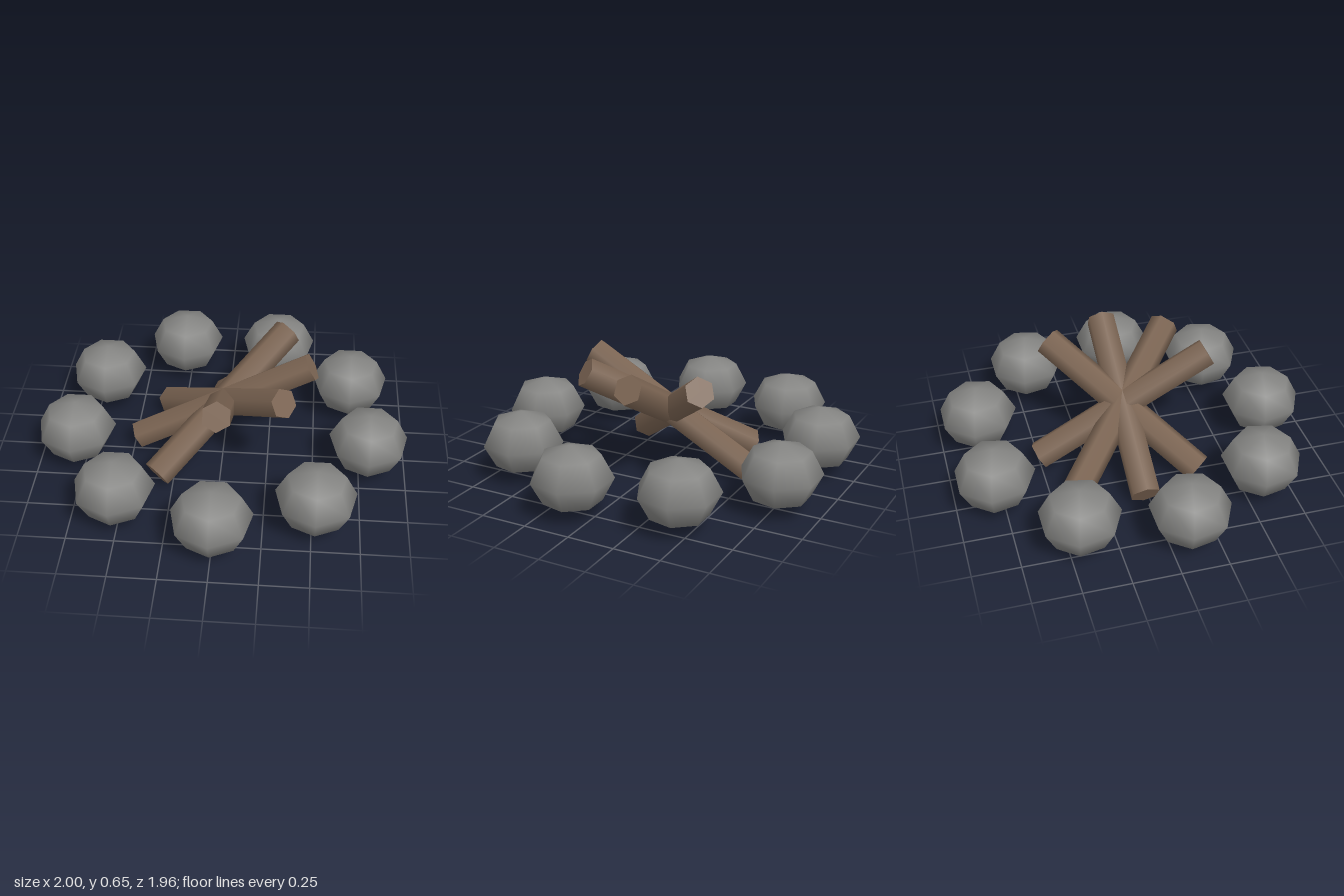
import * as THREE from 'three';

export function createModel() {
  const model = new THREE.Group();
  model.name = 'campfire';

  const stoneGrey = new THREE.MeshStandardMaterial({ color: 0x848482 });
  stoneGrey.name = 'stone grey';
  const barkBrown = new THREE.MeshStandardMaterial({ color: 0x7c6553 });
  barkBrown.name = 'bark brown';

  const centreZ = -0.035;

  // Ring of nine squashed seven-sided stones, each with a corner to the front
  const stoneCount = 9;
  const ringRadius = 0.803;
  const stoneGeometry = new THREE.SphereGeometry(0.214, 7, 4);
  stoneGeometry.rotateY(Math.PI / 2);
  stoneGeometry.scale(1, 0.8, 1);
  const stones = new THREE.Group();
  stones.name = 'stoneRing';
  for (let i = 0; i < stoneCount; i++) {
    const angle = (i / stoneCount) * Math.PI * 2;
    const stone = new THREE.Mesh(stoneGeometry, stoneGrey);
    stone.name = `stone${i + 1}`;
    stone.position.set(Math.sin(angle) * ringRadius, 0.21, centreZ + Math.cos(angle) * ringRadius);
    stones.add(stone);
  }
  model.add(stones);

  // Four tilted six-sided logs crossing at the centre
  const logGeometry = new THREE.CylinderGeometry(0.0803, 0.0803, 1.07, 6);
  const logs = new THREE.Group();
  logs.name = 'logPile';
  for (let i = 0; i < 4; i++) {
    const log = new THREE.Mesh(logGeometry, barkBrown);
    log.name = `log${i + 1}`;
    log.rotation.set(Math.PI / 2 - 0.5, (i * Math.PI) / 4, 0, 'YXZ');
    log.position.set(0, 0.327, centreZ);
    logs.add(log);
  }
  model.add(logs);

  return model;
}
